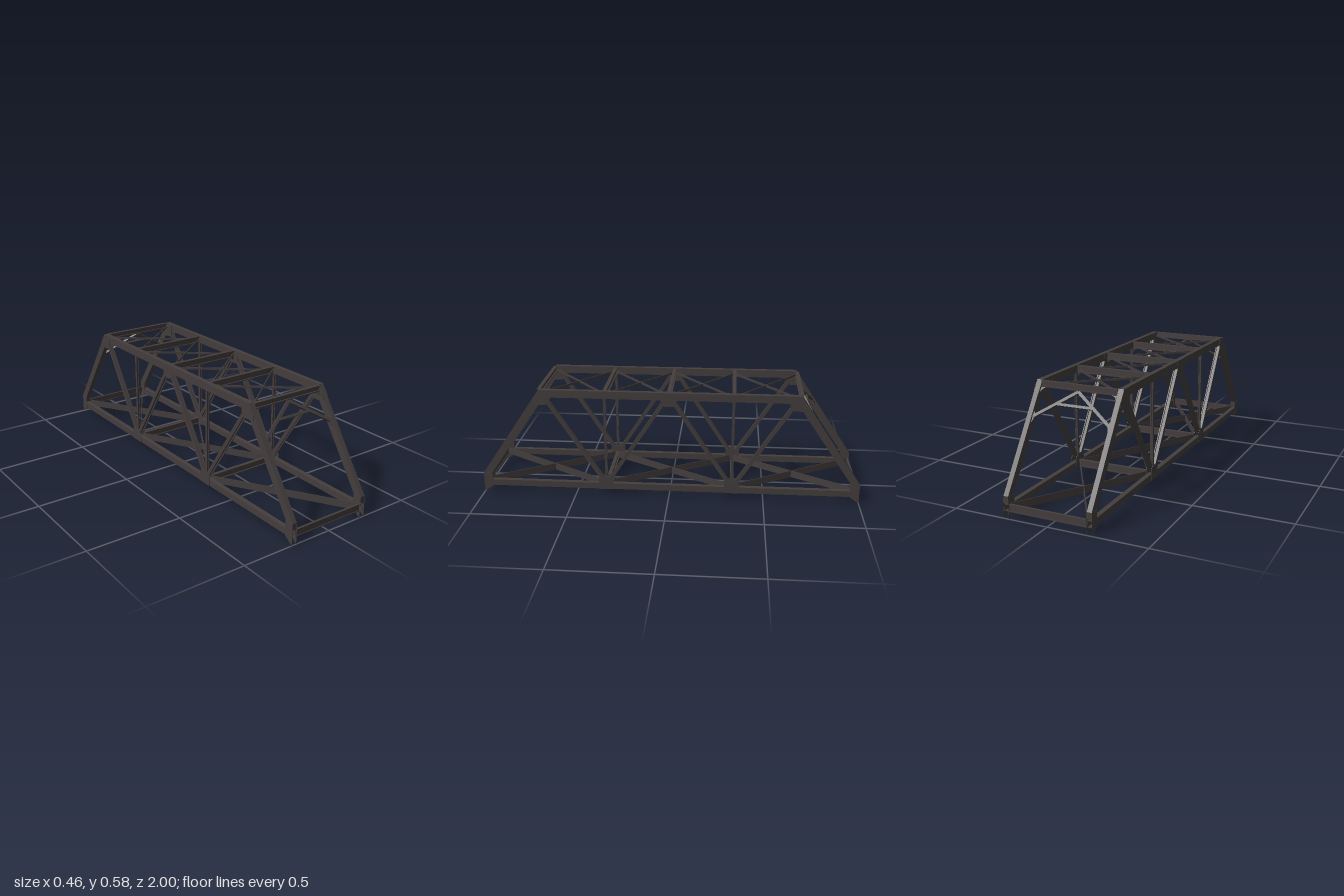
import * as THREE from 'three';

const steel = new THREE.MeshStandardMaterial({ color: 0x443e3d, side: THREE.DoubleSide });
steel.name = 'dark steel';

const V = (x, y, z) => new THREE.Vector3(x, y, z);
const NODE = 1 / 3;          // panel length
const XC = 0.2155;           // truss centre line
const CHORD_W = 0.025;

export function createModel() {
  const bridge = new THREE.Group();
  bridge.name = 'trussBridge';

  const add = (name, geometry) => {
    const mesh = new THREE.Mesh(geometry, steel);
    mesh.name = name;
    bridge.add(mesh);
    return mesh;
  };

  const polygon = (pts) => new THREE.Shape(pts.map(([x, y]) => new THREE.Vector2(x, y)));

  // Sweeps a section from a to b; section y follows "up" as closely as possible
  const sweep = (name, section, a, b, up) => {
    const dir = b.clone().sub(a);
    const length = dir.length();
    dir.normalize();
    const side = up.clone().cross(dir).normalize();
    const top = dir.clone().cross(side);
    const geo = new THREE.ExtrudeGeometry(section, { depth: length, bevelEnabled: false });
    geo.applyMatrix4(new THREE.Matrix4().makeBasis(side, top, dir).setPosition(a));
    return add(name, geo);
  };

  const rect = (w, h) => polygon([[-w / 2, -h / 2], [w / 2, -h / 2], [w / 2, h / 2], [-w / 2, h / 2]]);
  const iSection = (w, h, t = 0.005) => {
    const x = w / 2, y = h / 2, k = t / 2;
    return polygon([[-x, -y], [x, -y], [x, -y + t], [k, -y + t], [k, y - t], [x, y - t],
      [x, y], [-x, y], [-x, y - t], [-k, y - t], [-k, -y + t], [-x, -y + t]]);
  };

  // Extrudes a (z, y) outline across x, centred on x
  const sidePlate = (name, pts, x, thickness) => {
    const geo = new THREE.ExtrudeGeometry(polygon(pts), { depth: thickness, bevelEnabled: false });
    geo.translate(0, 0, -thickness / 2).rotateY(-Math.PI / 2).translate(x, 0, 0);
    return add(name, geo);
  };

  const UP = V(0, 1, 0), SIDE = V(1, 0, 0);

  // ---- The two side trusses ----
  for (const s of [1, -1]) {
    const x = s * XC;

    // Bottom chord: hollow, open at both ends
    for (const e of [-1, 1]) {
      add('bottomChordSide', new THREE.BoxGeometry(0.002, 0.033, 1.99))
        .position.set(x + e * (CHORD_W / 2 - 0.001), 0.0525, 0);
      add('bottomChordFlange', new THREE.BoxGeometry(CHORD_W, 0.002, 1.99))
        .position.set(x, 0.0525 + e * 0.0155, 0);
    }
    add('topChord', new THREE.BoxGeometry(CHORD_W, 0.04, 1.34)).position.set(x, 0.565, 0);

    for (const f of [1, -1]) {
      // Sloping end post
      sidePlate('endPost', [[f * 0.998, 0.075], [f * 0.998, 0.11], [f * 0.675, 0.585],
        [f * 0.627, 0.585], [f * 0.952, 0.11], [f * 0.952, 0.075]], x, CHORD_W);

      // Web members
      const foot = V(x, 0.07, f * (NODE + 0.005));
      sweep('outerDiagonal', iSection(0.019, 0.024), foot, V(x, 0.55, f * 0.65), SIDE);
      sweep('innerDiagonal', iSection(0.019, 0.024), V(x, 0.07, f * (NODE - 0.005)), V(x, 0.55, f * 0.015), SIDE);
      sweep('hanger', iSection(0.013, 0.016, 0.004), V(x, 0.07, f * NODE), V(x, 0.55, f * NODE), SIDE);

      // Gusset plates on both faces of the chords
      for (const e of [-1, 1]) {
        const gx = x + e * 0.0135;
        sidePlate('endGusset', [[f, 0], [f, 0.11], [f * 0.952, 0.11], [f * 0.952, 0.034]], gx, 0.0015);
        const c = f * NODE;
        sidePlate('lowerGusset', [[c - 0.04, 0.035], [c + 0.04, 0.035], [c + 0.04, 0.09],
          [c + 0.025, 0.11], [c - 0.025, 0.11], [c - 0.04, 0.09]], gx, 0.0015);
        sidePlate('shoulderGusset', [[f * 0.71, 0.535], [f * 0.675, 0.585], [f * 0.62, 0.585],
          [f * 0.62, 0.525], [f * 0.64, 0.505], [f * 0.71, 0.505]], gx, 0.0015);
      }
    }
    for (const e of [-1, 1]) {
      sidePlate('crownGusset', [[-0.04, 0.585], [-0.04, 0.53], [-0.022, 0.512], [0.022, 0.512],
        [0.04, 0.53], [0.04, 0.585]], x + e * 0.0135, 0.0015);
    }
  }

  // ---- Floor beams and bottom bracing ----
  const IN = 0.202;
  for (const f of [1, -1]) {
    sweep('endFloorBeam', iSection(0.012, 0.038), V(-IN, 0.054, f * 0.991), V(IN, 0.054, f * 0.991), UP);
    sweep('floorBeam', iSection(0.02, 0.038), V(-IN, 0.054, f * NODE), V(IN, 0.054, f * NODE), UP);
  }
  const cross = (name, section, y, z0, z1) => {
    for (const s of [1, -1]) sweep(name, section, V(-s * IN, y, z0), V(s * IN, y, z1), UP);
  };
  for (const [z0, z1] of [[0.985, NODE], [NODE, -NODE], [-NODE, -0.985]]) {
    cross('bottomBracing', rect(0.004, 0.038), 0.055, z0, z1);
  }

  // ---- Top struts and top bracing ----
  const corner = (size) => {
    const shape = new THREE.Shape();
    shape.moveTo(0, 0);
    shape.lineTo(size, 0);
    shape.quadraticCurveTo(size * 0.2, -size * 0.2, 0, -size);
    shape.closePath();
    return shape;
  };
  for (const z of [-NODE, 0, NODE]) {
    sweep('topStrut', iSection(0.02, 0.037), V(-IN, 0.5645, z), V(IN, 0.5645, z), UP);
    for (const s of [1, -1]) {
      const geo = new THREE.ExtrudeGeometry(corner(0.025), { depth: 0.004, bevelEnabled: false });
      const bracket = add('strutBracket', geo);
      bracket.position.set(-s * IN, 0.546, z - s * 0.002);
      if (s < 0) bracket.rotation.y = Math.PI;
    }
  }
  for (let i = -2; i < 2; i++) {
    cross('topBracing', rect(0.005, 0.011), 0.562, i * NODE, (i + 1) * NODE);
  }

  // ---- Portal frames, lying in the plane of the end posts ----
  for (const f of [1, -1]) {
    const at = (x, y) => V(x, y, f * (0.984 - (y - 0.11) * 0.684));
    const normal = V(0, 0.565, f * 0.825);
    const slope = V(0, 0.825, -f * 0.565);
    sweep('portalStrut', iSection(0.02, 0.03), V(-IN, 0.568, f * 0.677), V(IN, 0.568, f * 0.677), UP);
    sweep('portalTie', rect(0.013, 0.012), at(-0.105, 0.489), at(0.105, 0.489), normal);
    for (const s of [1, -1]) {
      sweep('portalBrace', rect(0.015, 0.012), at(s * IN, 0.427), at(0, 0.548), normal);
      // Curved brackets at the strut and at the brace foot
      const frame = new THREE.Matrix4().makeBasis(V(s, 0, 0), slope, normal);
      const upper = new THREE.ExtrudeGeometry(corner(0.03), { depth: 0.004, bevelEnabled: false });
      upper.applyMatrix4(frame.clone().setPosition(at(s * IN, 0.55)));
      upper.scale(1, 1, 1);
      const foot = new THREE.ExtrudeGeometry(
        polygon([[0, -0.03], [0.006, -0.018], [0.012, 0.008], [0.006, 0.02], [0, 0.03]]),
        { depth: 0.004, bevelEnabled: false });
      // Brackets reach inward from each post
      const inward = new THREE.Matrix4().makeBasis(V(-s, 0, 0), slope, normal);
      foot.applyMatrix4(inward.clone().setPosition(at(s * IN, 0.427)));
      const cornerGeo = new THREE.ExtrudeGeometry(corner(0.03), { depth: 0.004, bevelEnabled: false });
      cornerGeo.applyMatrix4(inward.clone().setPosition(at(s * IN, 0.55)));
      add('portalCornerBracket', cornerGeo);
      add('portalFootBracket', foot);
    }
  }

  return bridge;
}
